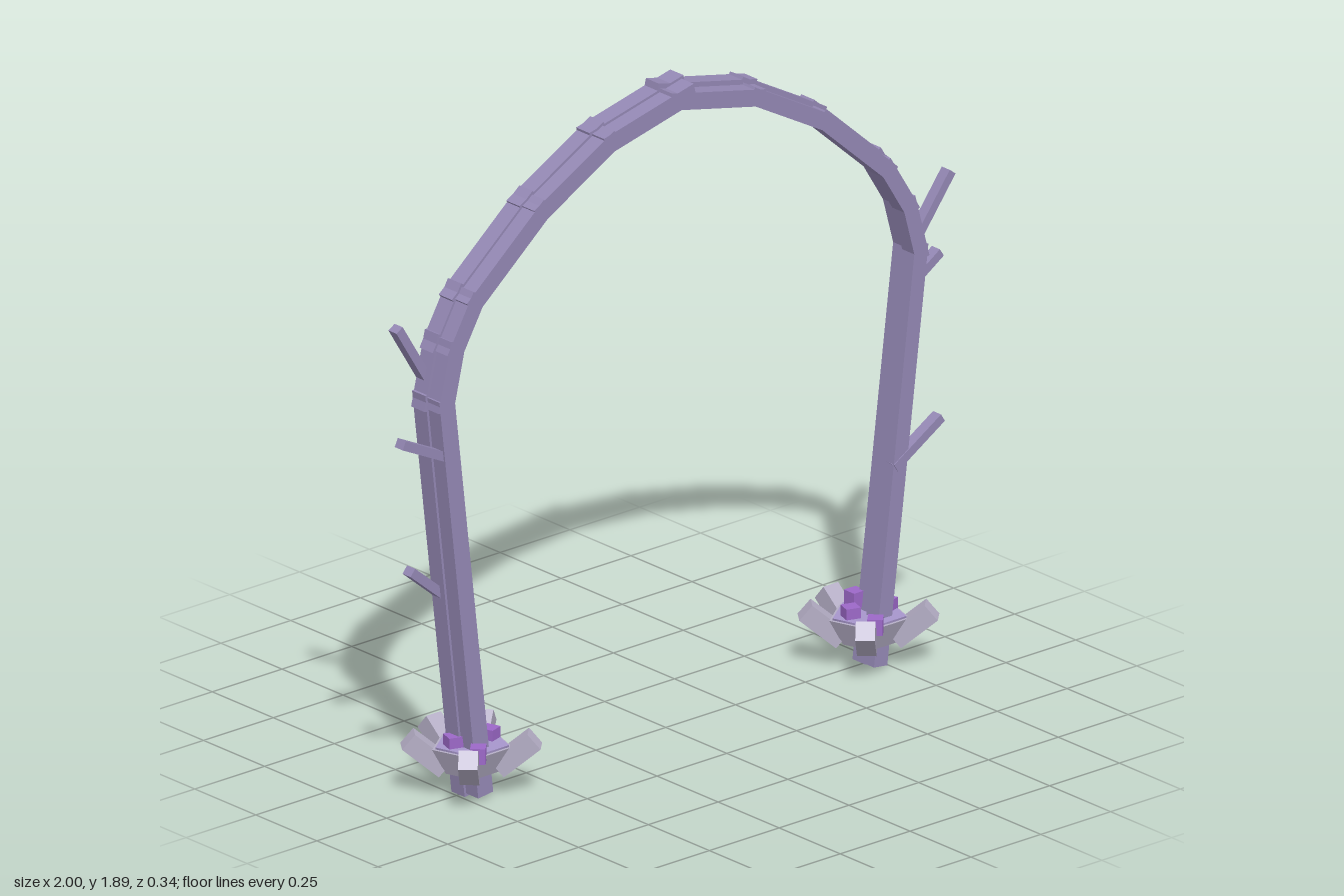
import * as THREE from 'three';

export function createModel() {
  const model = new THREE.Group();
  const material = (name, color) => {
    const m = new THREE.MeshStandardMaterial({ color });
    m.name = name;
    return m;
  };
  const bark = material('mauve bark', 0x9488b4);
  const petalGrey = material('pale petal', 0xb5aec6);
  const lilac = material('lilac disc', 0xa796cc);
  const violet = material('violet bud', 0x9c68c8);

  const add = (parent, name, geometry, mat) => {
    const mesh = new THREE.Mesh(geometry, mat);
    mesh.name = name;
    parent.add(mesh);
    return mesh;
  };

  // Square beam between two points in the arch plane, with overlap at both ends
  const beam = (parent, name, a, b, z, thick, depth, overlap = 0, shift = 0) => {
    const dx = b[0] - a[0], dy = b[1] - a[1], len = Math.hypot(dx, dy);
    const mesh = add(parent, name, new THREE.BoxGeometry(len + overlap * 2, thick, depth), bark);
    mesh.position.set((a[0] + b[0]) / 2 - dy / len * shift, (a[1] + b[1]) / 2 + dx / len * shift, z);
    mesh.rotation.z = Math.atan2(dy, dx);
    return mesh;
  };

  // Each half is two strands side by side, running from foot to crown
  const halves = [
    { name: 'right', side: -1, front: 0, back: 0.007, thick: 0.054,
      path: [[-0.71, 0.02], [-0.845, 1.17], [-0.81, 1.32], [-0.74, 1.44], [-0.5, 1.64], [-0.255, 1.775], [0.02, 1.84]] },
    { name: 'left', side: 1, front: -0.006, back: 0.008, thick: 0.048,
      path: [[0.715, 0.02], [0.858, 1.17], [0.82, 1.31], [0.74, 1.44], [0.515, 1.64], [0.27, 1.775], [-0.02, 1.84]] },
  ];
  for (const h of halves) {
    const arch = new THREE.Group();
    arch.name = h.name + 'ArchHalf';
    model.add(arch);
    for (let i = 0; i < h.path.length - 1; i++) {
      const name = i === 0 ? 'trunk' : 'archBough';
      const overlap = i === 0 ? 0.018 : 0.024;
      // outward is left of travel on the -x half, right of travel on the +x half
      beam(arch, name + 'Front', h.path[i], h.path[i + 1], 0.047, h.thick, 0.05, overlap, -h.side * h.front);
      beam(arch, name + 'Back', h.path[i], h.path[i + 1], -0.004, h.thick, 0.054, overlap + 0.008, -h.side * h.back);
    }
  }

  // Short bare twigs: tip, root, depth
  const twigs = [
    [[-0.955, 1.395], [-0.835, 1.2], -0.015], [[-0.995, 1.09], [-0.84, 1.015], 0.05],
    [[-0.91, 0.68], [-0.76, 0.555], -0.012],
    [[0.968, 1.37], [0.85, 1.215], 0.052], [[0.988, 1.11], [0.85, 1.02], -0.015],
    [[0.928, 0.668], [0.76, 0.565], 0.058],
  ];
  for (const [tip, root, z] of twigs) beam(model, 'twig', tip, root, z, 0.026, 0.033);

  // Blossom around each foot
  const petals = [90, 36, 144, -46, -134]; // degrees, 90 points to the back
  const buds = [[-0.045, 0.14, 0.08, 45], [0.05, 0.145, -0.085, 45], [-0.005, 0.17, -0.05, 0],
    [0.058, 0.148, 0.01, 18], [-0.055, 0.148, -0.01, -18]];
  for (const x of [-0.71, 0.713]) {
    const blossom = new THREE.Group();
    blossom.name = 'footBlossom';
    blossom.position.set(x, 0, 0.015);
    model.add(blossom);

    // Five-sided cup with a corner towards the back
    const cup = add(blossom, 'blossomCup',
      new THREE.CylinderGeometry(0.115, 0.075, 0.075, 5).toNonIndexed(), petalGrey);
    cup.geometry.computeVertexNormals();
    cup.position.y = 0.097;
    cup.rotation.y = Math.PI;
    const disc = add(blossom, 'blossomDisc', new THREE.CylinderGeometry(0.105, 0.105, 0.006, 5), lilac);
    disc.position.y = 0.137;
    disc.rotation.y = Math.PI;

    // Block petals tilted up and outward
    for (const deg of petals) {
      const arm = new THREE.Group();
      arm.rotation.y = THREE.MathUtils.degToRad(deg);
      blossom.add(arm);
      const tilt = 0.7, length = 0.13;
      const petal = add(arm, 'petal', new THREE.BoxGeometry(length, 0.055, 0.053), petalGrey);
      petal.position.set(0.172 - Math.cos(tilt) * length / 2, 0.155 - Math.sin(tilt) * length / 2, 0);
      petal.rotation.z = tilt;
    }

    // Little violet cubes in the cup
    for (const [bx, by, bz, turn] of buds) {
      const bud = add(blossom, 'bud', new THREE.BoxGeometry(0.042, 0.046, 0.042), violet);
      bud.position.set(bx, by, bz);
      bud.rotation.y = THREE.MathUtils.degToRad(turn);
    }
  }
  return model;
}
